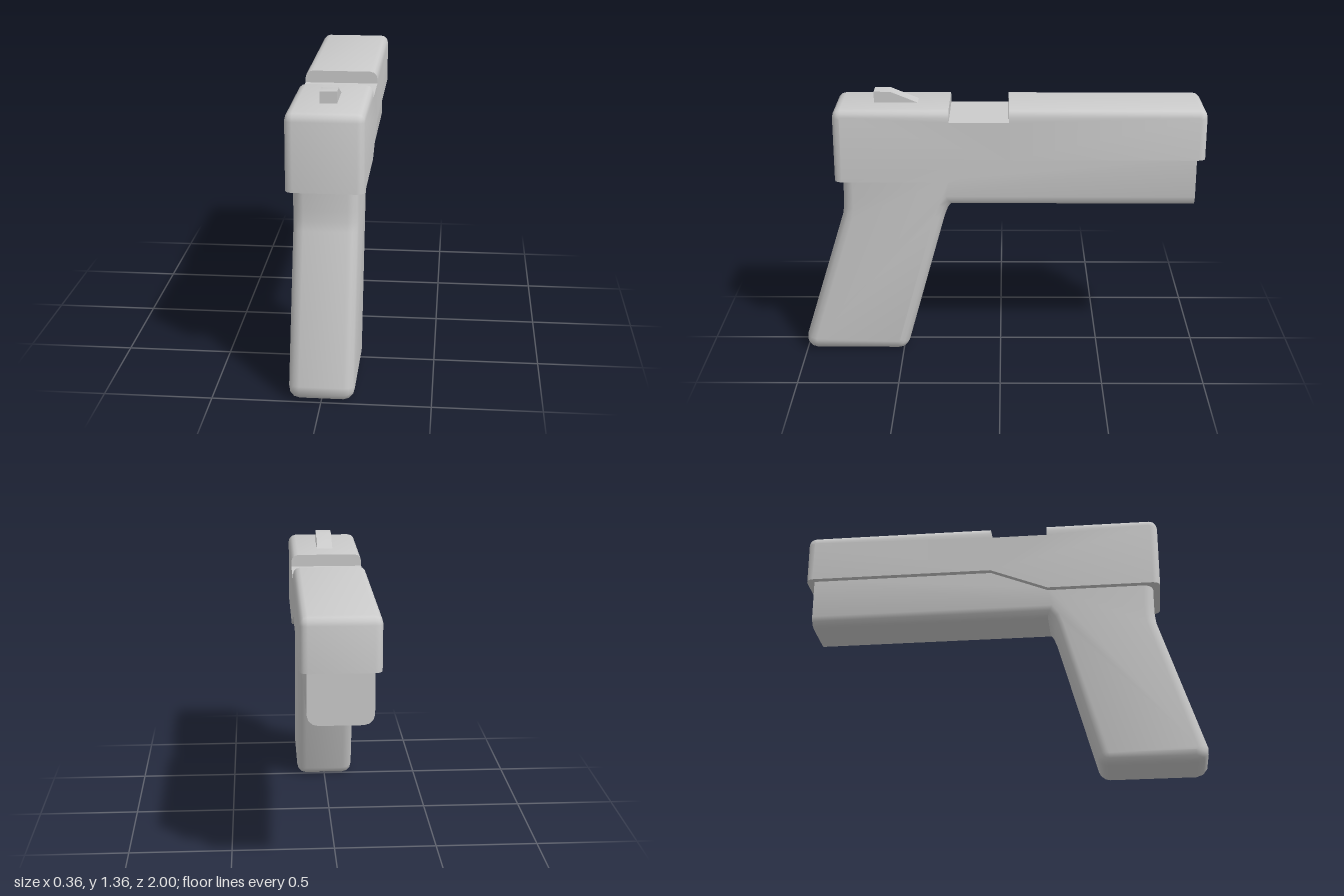
import * as THREE from 'three';
import { toCreasedNormals } from 'three/addons/utils/BufferGeometryUtils.js';

// Replace corner p (between a and b) with a small arc of radius r
function fillet(a, p, b, r, steps = 3) {
  const A = new THREE.Vector2(a[0], a[1]), P = new THREE.Vector2(p[0], p[1]), B = new THREE.Vector2(b[0], b[1]);
  const u = A.sub(P).normalize(), v = B.sub(P).normalize();
  const half = Math.acos(u.dot(v)) / 2;
  const c = u.clone().add(v).normalize().multiplyScalar(r / Math.sin(half)).add(P);
  const start = u.multiplyScalar(r / Math.tan(half)).add(P).sub(c);
  const sweep = Math.PI - 2 * half;
  return Array.from({ length: steps + 1 }, (_, i) => {
    const q = start.clone().rotateAround(new THREE.Vector2(), sweep * i / steps).add(c);
    return [q.x, q.y, 1];
  });
}

// Side profile of [z, y, bevelNextEdge, cornerRadius], counter-clockwise in (z, y),
// widened along x; only the flagged edges are rounded over towards the sides.
function bevelledSlab(profile, halfWidth, bevel, segments = 3) {
  const count = profile.length;
  const pts = profile.flatMap((p, i) => p[3]
    ? fillet(profile[(i + count - 1) % count], p, profile[(i + 1) % count], p[3])
    : [p]);
  const n = pts.length;
  const normals = pts.map((p, i) => {
    const q = pts[(i + 1) % n];
    return new THREE.Vector2(p[1] - q[1], q[0] - p[0]).normalize();
  });
  // Mitred inward direction at every profile point
  const inward = pts.map((p, i) => {
    const j = (i + n - 1) % n, m1 = normals[j], m2 = normals[i];
    const b1 = pts[j][2], b2 = p[2], det = m1.cross(m2);
    if (Math.abs(det) < 1e-3) return [m2.x * b2, m2.y * b2];
    return [(b1 * m2.y - b2 * m1.y) / det, (m1.x * b2 - m2.x * b1) / det];
  });

  const side = [];
  for (let s = 0; s <= (bevel ? segments : 0); s++) {
    const t = s / segments * Math.PI / 2;
    side.push([halfWidth - bevel + bevel * Math.cos(t), bevel * (1 - Math.sin(t))]);
  }
  const rings = [...side.map(([x, d]) => [-x, d]), ...side.reverse()];
  const pos = [], index = [];
  for (const [x, d] of rings) {
    pts.forEach((p, i) => pos.push(x, p[1] + inward[i][1] * d, p[0] + inward[i][0] * d));
  }
  for (let k = 0; k < rings.length - 1; k++) {
    for (let i = 0; i < n; i++) {
      const j = (i + 1) % n, a = k * n + i, b = a + n, c = (k + 1) * n + j, e = k * n + j;
      index.push(a, b, c, a, c, e);
    }
  }
  // Flat side caps
  const last = (rings.length - 1) * n;
  const contour = pts.map((p, i) => new THREE.Vector2(pos[i * 3 + 2], pos[i * 3 + 1]));
  for (const [a, b, c] of THREE.ShapeUtils.triangulateShape(contour, [])) {
    index.push(a, b, c, last + a, last + c, last + b);
  }
  const geo = new THREE.BufferGeometry();
  geo.setAttribute('position', new THREE.Float32BufferAttribute(pos, 3));
  geo.setIndex(index);
  return toCreasedNormals(geo, 0.75);
}

export function createModel() {
  const group = new THREE.Group();
  const material = new THREE.MeshStandardMaterial({ color: 0xcccccc });
  const add = (name, geometry) => {
    const mesh = new THREE.Mesh(geometry, material);
    mesh.name = name;
    group.add(mesh);
  };

  // Upper slide with a notch in the top and a stepped underside
  add('slide', bevelledSlab([
    [0.815, 0.935, 1],
    [0.815, 1.3, 1, 0.04],
    [0.25, 1.3, 0],
    [0.25, 1.24, 0],
    [-0.04, 1.24, 0],
    [-0.04, 1.3, 1],
    [-1, 1.3, 1, 0.04],
    [-1, 1.05, 0],
    [-0.04, 1.05, 0],
    [0.25, 0.935, 0],
  ], 0.18, 0.036));

  // Lower frame and slanted grip in one piece, tucked slightly into the slide
  add('frameAndGrip', bevelledSlab([
    [0.78, 0.95, 0],
    [0.25, 0.95, 0],
    [-0.04, 1.06, 0],
    [-0.96, 1.06, 0],
    [-0.96, 0.8, 1],
    [0.245, 0.8, 1],
    [0.262, 0.778, 1],
    [0.28, 0.73, 1],
    [0.482, 0, 1, 0.056],
    [1.022, 0, 1, 0.056],
    [0.787, 0.745, 1],
    [0.781, 0.79, 1],
    [0.78, 0.84, 1],
  ], 0.15, 0.05));

  // Small wedge sight on top
  add('sight', bevelledSlab([
    [0.62, 1.29, 0],
    [0.62, 1.355, 0],
    [0.54, 1.355, 0],
    [0.405, 1.3, 0],
    [0.405, 1.29, 0],
  ], 0.04, 0));

  return group;
}
